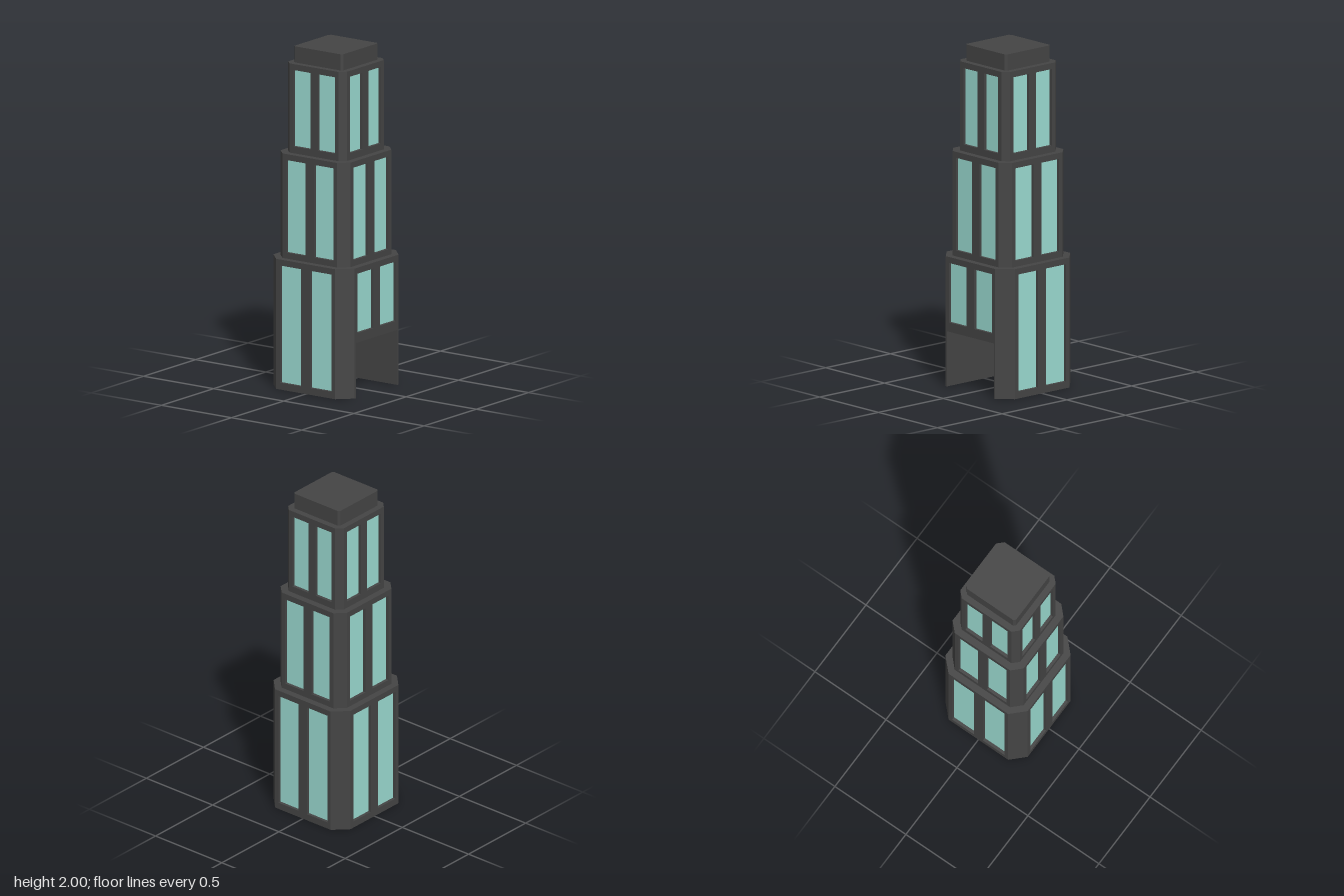
import * as THREE from 'three';

const stone = new THREE.MeshStandardMaterial({ color: 0x444444, flatShading: true });
const glass = new THREE.MeshStandardMaterial({ color: 0x9adad0 });
const RECESS = 0.02;
const DOOR = { half: 0.2, top: 0.325, back: -0.2 };

// half width, corner chamfer, bottom, top, window inner/outer x, window bottom/top
const TIERS = [
  { name: 'lowerTier', half: 0.29, chamfer: 0.08, y0: 0, y1: 0.765, win: [0.032, 0.184, 0.04, 0.73], door: true },
  { name: 'middleTier', half: 0.25, chamfer: 0.055, y0: 0.765, y1: 1.38, win: [0.031, 0.168, 0.8, 1.345] },
  { name: 'upperTier', half: 0.21, chamfer: 0.035, y0: 1.38, y1: 1.905, win: [0.027, 0.148, 1.42, 1.87] },
];

const toShape = (pts) => new THREE.Shape(pts.map(([x, y]) => new THREE.Vector2(x, y)));
const rect = (x0, x1, y0, y1) => [[x0, y0], [x1, y0], [x1, y1], [x0, y1]];

function add(parent, name, geometry, material) {
  const mesh = new THREE.Mesh(geometry, material);
  mesh.name = name;
  parent.add(mesh);
  return mesh;
}

// Extrude a plan outline (x, z) vertically from y0 to y1
function prism(pts, y0, y1) {
  const geo = new THREE.ExtrudeGeometry(toShape(pts), { depth: y1 - y0, bevelEnabled: false });
  return geo.rotateX(Math.PI / 2).translate(0, y1, 0);
}

// Chamfered square plan with a shallow notch on each side for the wall panels
function corePlan(half, chamfer, open) {
  const f = half - chamfer, n = half - RECESS, d = DOOR.half;
  const doorway = open ? [[d, n], [d, DOOR.back], [-d, DOOR.back], [-d, n]] : [];
  return [
    [half, f], [f, half], [f, n], ...doorway, [-f, n], [-f, half],
    [-half, f], [-n, f], [-n, -f], [-half, -f],
    [-f, -half], [-f, -n], [f, -n], [f, -half],
    [half, -f], [n, -f], [n, f],
  ];
}

// One side of a tier: pierced wall panel with two recessed panes
function makeSide(tier, isEntrance) {
  const side = new THREE.Group();
  const f = tier.half - tier.chamfer;
  const [xa, xb, wy0, wy1] = tier.win;
  const bottom = isEntrance ? 0.38 : wy0;
  const d = DOOR.half, t = DOOR.top;
  const outline = isEntrance
    ? [[-f, 0], [-d, 0], [-d, t], [d, t], [d, 0], [f, 0], [f, tier.y1], [-f, tier.y1]]
    : rect(-f, f, tier.y0, tier.y1);
  const shape = toShape(outline);
  for (const [x0, x1] of [[-xb, -xa], [xa, xb]]) {
    shape.holes.push(toShape(rect(x0, x1, bottom, wy1)));
    add(side, 'windowPane', new THREE.PlaneGeometry(x1 - x0, wy1 - bottom), glass)
      .position.set((x0 + x1) / 2, (bottom + wy1) / 2, tier.half - RECESS + 0.002);
  }
  add(side, 'wallPanel', new THREE.ExtrudeGeometry(shape, { depth: RECESS, bevelEnabled: false }), stone)
    .position.z = tier.half - RECESS;
  return side;
}

function makeTier(tier) {
  const group = new THREE.Group();
  group.name = tier.name;
  const base = tier.door ? DOOR.top : tier.y0;
  add(group, 'core', prism(corePlan(tier.half, tier.chamfer, false), base, tier.y1), stone);
  // Hollow entrance hall, open to the front
  if (tier.door) add(group, 'entranceWalls', prism(corePlan(tier.half, tier.chamfer, true), 0, DOOR.top), stone);
  ['front', 'left', 'back', 'right'].forEach((name, i) => {
    const side = makeSide(tier, tier.door && i === 0);
    side.name = name + 'Side';
    side.rotation.y = i * Math.PI / 2;
    group.add(side);
  });
  return group;
}

export function createModel() {
  const tower = new THREE.Group();
  tower.name = 'tower';
  TIERS.forEach((tier) => tower.add(makeTier(tier)));

  // Roof block with slightly clipped corners
  const h = 0.174, f = 0.162;
  const roof = [[h, f], [f, h], [-f, h], [-h, f], [-h, -f], [-f, -h], [f, -h], [h, -f]];
  add(tower, 'roofCap', prism(roof, 1.905, 2), stone);
  return tower;
}
